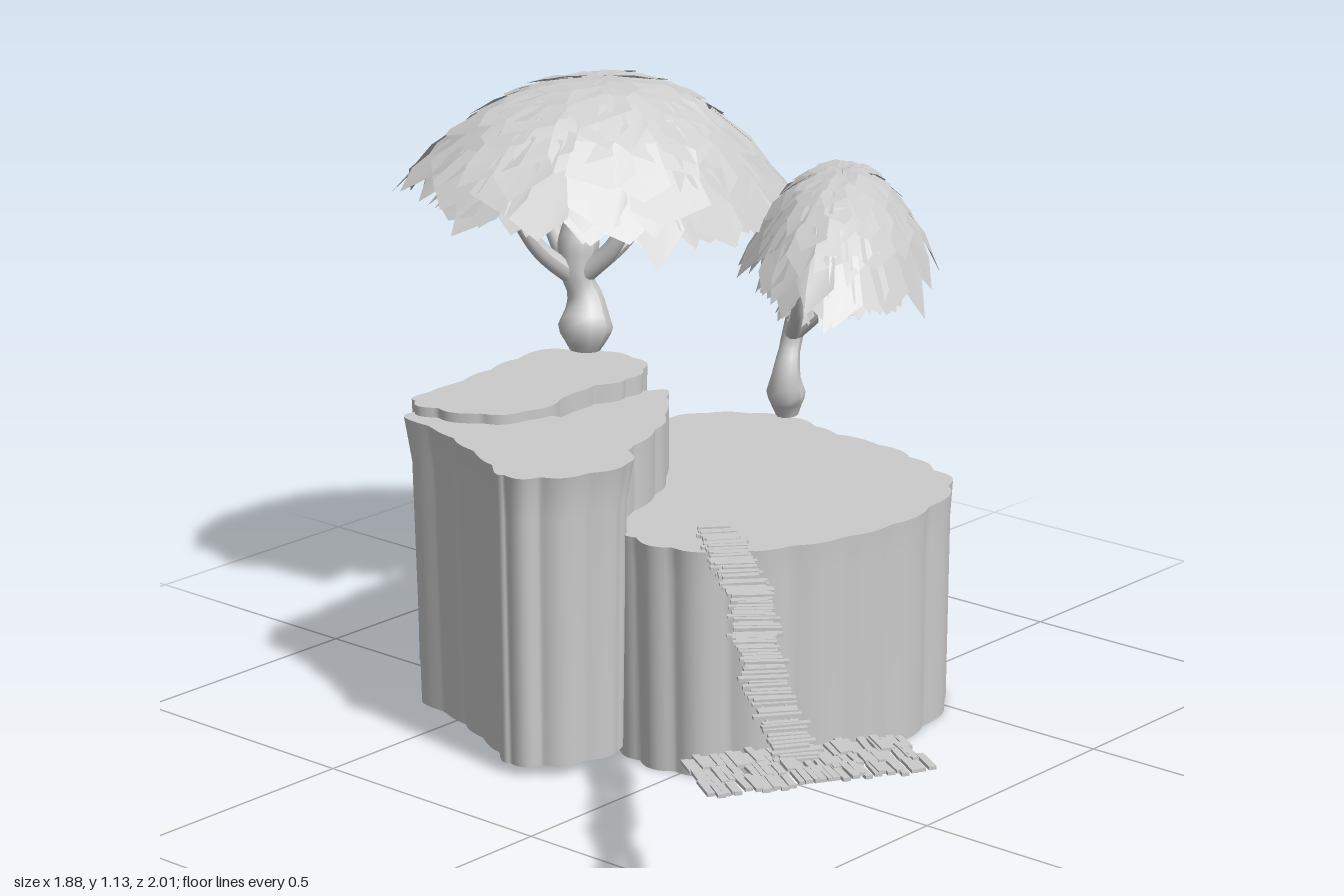
import * as THREE from 'three';
import { mergeGeometries } from 'three/addons/utils/BufferGeometryUtils.js';

const mat = new THREE.MeshStandardMaterial({ color: 0xcccccc, side: THREE.DoubleSide });
const v3 = (p) => new THREE.Vector3(...p);

function seeded(seed) {
  let s = seed;
  return () => (s = (s * 16807) % 2147483647) / 2147483647;
}

function indexed(positions, index) {
  const g = new THREE.BufferGeometry();
  g.setAttribute('position', new THREE.Float32BufferAttribute(positions, 3));
  g.setIndex(index);
  g.computeVertexNormals();
  return g;
}

function add(parent, name, geometry) {
  const mesh = new THREE.Mesh(geometry, mat);
  mesh.name = name;
  parent.add(mesh);
}

// Cliff block: unevenly scalloped outline in x/z, fluted wall, flat top, open underneath
function cliff(parent, name, outline, y0, y1, scallops, taper = 0.98) {
  const curve = new THREE.CatmullRomCurve3(outline.map(([x, z]) => v3([x, 0, z])), true);
  const n = 240;
  const mid = outline.reduce((m, [x, z]) => m.add(v3([x, 0, z])), v3([0, 0, 0])).divideScalar(outline.length);
  const ring = [];
  for (let i = 0; i < n; i++) {
    const t = i / n, a = t * 2 * Math.PI, p = curve.getPointAt(t);
    const bump = 0.014 * Math.abs(Math.sin(a * scallops / 2 + 0.7 * Math.sin(2 * a) + 0.3 * Math.sin(5 * a)))
      * (0.75 + 0.25 * Math.sin(3 * a + 1)) - 0.005;
    ring.push(p.addScaledVector(p.clone().sub(mid).normalize(), bump));
  }
  const levels = [[y0, taper], [y0 + (y1 - y0) * 0.85, 0.4 + taper * 0.6], [y1, 1]];
  const pos = [], idx = [];
  levels.forEach(([y, s], k) => ring.forEach((p, i) => {
    pos.push(mid.x + (p.x - mid.x) * s, y, mid.z + (p.z - mid.z) * s);
    if (k === 0) return;
    const a = (k - 1) * n + i, b = (k - 1) * n + (i + 1) % n;
    idx.push(a, a + n, b, b, a + n, b + n);
  }));
  const group = new THREE.Group();
  group.name = name;
  parent.add(group);
  add(group, name + 'Wall', indexed(pos, idx));
  const top = new THREE.ShapeGeometry(new THREE.Shape(ring.map((p) => new THREE.Vector2(p.x, -p.z))));
  add(group, name + 'Top', top.rotateX(-Math.PI / 2).translate(0, y1, 0));
}

// Tube whose radius follows a list of values
function taperedTube(points, radii) {
  const n = 24, sides = 10;
  const curve = new THREE.CatmullRomCurve3(points.map(v3));
  const g = new THREE.TubeGeometry(curve, n, 1, sides, false);
  const pos = g.attributes.position, p = new THREE.Vector3();
  for (let i = 0; i <= n; i++) {
    const c = curve.getPointAt(i / n), f = (i / n) * (radii.length - 1);
    const k = Math.min(Math.floor(f), radii.length - 2);
    const r = THREE.MathUtils.lerp(radii[k], radii[k + 1], f - k);
    for (let j = 0; j <= sides; j++) {
      const q = i * (sides + 1) + j;
      p.fromBufferAttribute(pos, q).sub(c).multiplyScalar(r).add(c);
      pos.setXYZ(q, p.x, p.y, p.z);
    }
  }
  g.computeVertexNormals();
  return g;
}

// Branches forking from the trunk out to the given ends
function branches(parent, name, from, ends, r) {
  ends.forEach((end, i) => {
    const bend = [0, 1, 2].map((k) => THREE.MathUtils.lerp(from[k], end[k], k === 1 ? 0.35 : 0.5));
    add(parent, name + (i + 1), taperedTube([from, bend, end], [r, r * 0.75, r * 0.4]));
  });
}

// Leafy dome leaning along x and z: overlapping pointed leaf cards over a jagged shell
function canopy(parent, name, { at, a, b, height, turn, lean, tiers, seed }) {
  const rnd = seeded(seed), pos = [], idx = [], cards = [], cardIdx = [];
  const cu = Math.cos(turn), su = Math.sin(turn);
  const point = (r, th, lift) => {
    const u = (a + lift) * r * Math.cos(th), v = (b + lift) * r * Math.sin(th);
    const x = u * cu - v * su, z = u * su + v * cu;
    return [at[0] + x, at[1] + lift - height * Math.pow(r, 2.3) - r * (x * lean[0] + z * lean[1]), at[2] + z];
  };
  const rings = 8, seg = 36;
  for (let i = 0; i <= rings; i++) for (let j = 0; j <= seg; j++) {
    const jag = i === rings && j % 2 ? 0.1 : 0;
    pos.push(...point((i / rings) * 0.85 + jag, (j % seg) / seg * 2 * Math.PI, -0.006));
    if (i < rings && j < seg) {
      const k = i * (seg + 1) + j, m = k + seg + 1;
      idx.push(k, k + 1, m, k + 1, m + 1, m);
    }
  }
  for (let t = 0; t < tiers; t++) {
    const r = 0.06 + 0.8 * t / (tiers - 1);
    const count = Math.round(5 + 18 * r);
    for (let j = 0; j < count; j++) {
      const th = (j + rnd() * 0.7 + t * 0.5) / count * 2 * Math.PI, w = Math.PI / count * (1 + rnd() * 0.5);
      const r0 = Math.max(0.01, r - 0.13), r1 = r + 0.02 + rnd() * 0.06, k = cards.length / 3;
      const lift = 0.002 + rnd() * 0.006;
      cards.push(...point(r0, th - w, 0), ...point(r0, th + w, 0), ...point(r1, th + w * (0.7 + rnd() * 0.4), lift),
        ...point(r1 + 0.03 + rnd() * 0.08, th + (rnd() - 0.5) * w * 1.6, lift), ...point(r1 - rnd() * 0.04, th - w, lift));
      cardIdx.push(k, k + 1, k + 2, k, k + 2, k + 3, k, k + 3, k + 4);
    }
  }
  add(parent, name, mergeGeometries([indexed(pos, idx), indexed(cards, cardIdx)]));
}

// Walkway plank turned to a heading, with a slight seeded misalignment
function plank(p, heading, length, width, rnd) {
  return new THREE.BoxGeometry(length * (0.8 + rnd() * 0.35), 0.006, width)
    .rotateY(heading + (rnd() - 0.5) * 0.1)
    .translate(p.x + (rnd() - 0.5) * 0.012, p.y + (rnd() - 0.5) * 0.006, p.z + (rnd() - 0.5) * 0.012);
}

export function createModel() {
  const model = new THREE.Group();
  model.name = 'islandWithTrees';

  // Stepped cliffs
  cliff(model, 'frontCliff', [[-0.11, -0.1], [-0.105, 0], [-0.03, 0.1], [0.08, 0.165], [0.24, 0.207], [0.39, 0.195],
    [0.53, 0.13], [0.585, 0.03], [0.63, -0.12], [0.61, -0.3], [0.49, -0.45], [0.3, -0.53], [0.1, -0.46], [-0.03, -0.27]],
  0, 0.437, 21);
  cliff(model, 'sideCliff', [[0.44, -0.28], [0.55, -0.215], [0.67, -0.25], [0.735, -0.36], [0.73, -0.5], [0.64, -0.61],
    [0.5, -0.635], [0.41, -0.52]], 0.13, 0.4, 13);
  cliff(model, 'leftCliff', [[-0.325, -0.22], [-0.25, -0.13], [-0.12, -0.1], [-0.05, -0.18], [-0.02, -0.3], [0, -0.4],
    [-0.03, -0.5], [-0.08, -0.59], [-0.175, -0.61], [-0.205, -0.5], [-0.26, -0.36], [-0.29, -0.29]], 0.02, 0.583, 15, 0.89);
  cliff(model, 'backCliff', [[-0.145, -0.625], [-0.11, -0.45], [0, -0.41], [0.1, -0.44], [0.25, -0.42], [0.335, -0.47],
    [0.34, -0.59], [0.27, -0.67], [0.12, -0.665], [0, -0.65]], 0.08, 0.602, 15);
  cliff(model, 'middleCliff', [[-0.06, -0.2], [0.06, -0.22], [0.17, -0.27], [0.25, -0.34], [0.31, -0.4], [0.2, -0.46],
    [0, -0.43], [-0.035, -0.32]], 0.2, 0.565, 11);

  // Large tree
  const large = new THREE.Group();
  large.name = 'largeTree';
  model.add(large);
  add(large, 'largeTrunk', taperedTube([[0.31, 0.607, -0.605], [0.312, 0.64, -0.605], [0.325, 0.7, -0.615], [0.318, 0.76, -0.63],
    [0.34, 0.85, -0.64], [0.38, 0.97, -0.66]], [0.03, 0.056, 0.04, 0.03, 0.034, 0.042, 0.034, 0.026, 0.02, 0.012]));
  branches(large, 'largeBranch', [0.318, 0.745, -0.628],
    [[0.18, 0.93, -0.7], [0.54, 0.92, -0.58], [0.4, 0.92, -0.82], [0.36, 0.92, -0.5]], 0.022);
  canopy(large, 'largeCanopy',
    { at: [0.44, 1.12, -0.665], a: 0.43, b: 0.305, height: 0.285, turn: 0.5, lean: [0.13, 0.06], tiers: 8, seed: 41 });
  canopy(large, 'largeInnerCanopy',
    { at: [0.43, 1.05, -0.665], a: 0.36, b: 0.25, height: 0.24, turn: 0.5, lean: [0.13, 0.06], tiers: 5, seed: 52 });

  // Small tree
  const small = new THREE.Group();
  small.name = 'smallTree';
  model.add(small);
  add(small, 'smallTrunk', taperedTube([[0.572, 0.474, -0.31], [0.57, 0.5, -0.31], [0.557, 0.56, -0.3], [0.58, 0.63, -0.305],
    [0.59, 0.7, -0.29], [0.63, 0.87, -0.25]], [0.022, 0.04, 0.027, 0.021, 0.021, 0.024, 0.018, 0.014, 0.011, 0.007]));
  branches(small, 'smallBranch', [0.58, 0.635, -0.304],
    [[0.48, 0.8, -0.2], [0.75, 0.83, -0.29], [0.6, 0.82, -0.17], [0.64, 0.71, -0.29]], 0.016);
  canopy(small, 'smallCanopy',
    { at: [0.645, 0.965, -0.24], a: 0.315, b: 0.19, height: 0.215, turn: -0.57, lean: [0, 0.1], tiers: 7, seed: 77 });
  canopy(small, 'smallInnerCanopy',
    { at: [0.63, 0.9, -0.24], a: 0.235, b: 0.15, height: 0.18, turn: -0.57, lean: [0, 0.1], tiers: 5, seed: 19 });
  canopy(small, 'lowLeafClump',
    { at: [0.635, 0.742, -0.29], a: 0.085, b: 0.078, height: 0.08, turn: 0, lean: [0, 0], tiers: 3, seed: 93 });

  // Arched plank walkway
  const rnd = seeded(1234);
  const path = new THREE.CatmullRomCurve3([[0.02, 0.44, -0.02], [-0.1, 0.453, 0.12], [-0.3, 0.473, 0.34], [-0.48, 0.473, 0.51],
    [-0.62, 0.455, 0.66], [-0.68, 0.432, 0.74], [-0.73, 0.424, 0.81]].map(v3));
  const walk = [];
  for (let i = 0; i <= 90; i++) {
    const d = path.getTangentAt(i / 90);
    walk.push(plank(path.getPointAt(i / 90), Math.atan2(d.x, d.z), 0.075, 0.012, rnd));
  }
  add(model, 'walkwayPlanks', mergeGeometries(walk));
  const beams = [-0.02, 0.02].map((o) => new THREE.TubeGeometry(new THREE.CatmullRomCurve3(
    path.points.map((p) => p.clone().add(v3([o * 0.75, -0.005, o * 0.66])))), 40, 0.004, 5));
  add(model, 'walkwayBeams', mergeGeometries(beams));

  // Landing dock at the end of the walkway
  const heading = -0.545, dock = [];
  const along = v3([Math.cos(heading), 0, -Math.sin(heading)]), across = v3([Math.sin(heading), 0, Math.cos(heading)]);
  for (let i = 0; i < 30; i++) for (let k = -1; k <= 1; k++) {
    const p = v3([-0.74, 0.421, 0.83]).addScaledVector(along, (i - 14.5) * 0.0125).addScaledVector(across, k * 0.05);
    dock.push(plank(p, heading + Math.PI / 2, 0.06, 0.0125, rnd));
  }
  add(model, 'dockPlanks', mergeGeometries(dock));
  return model;
}
